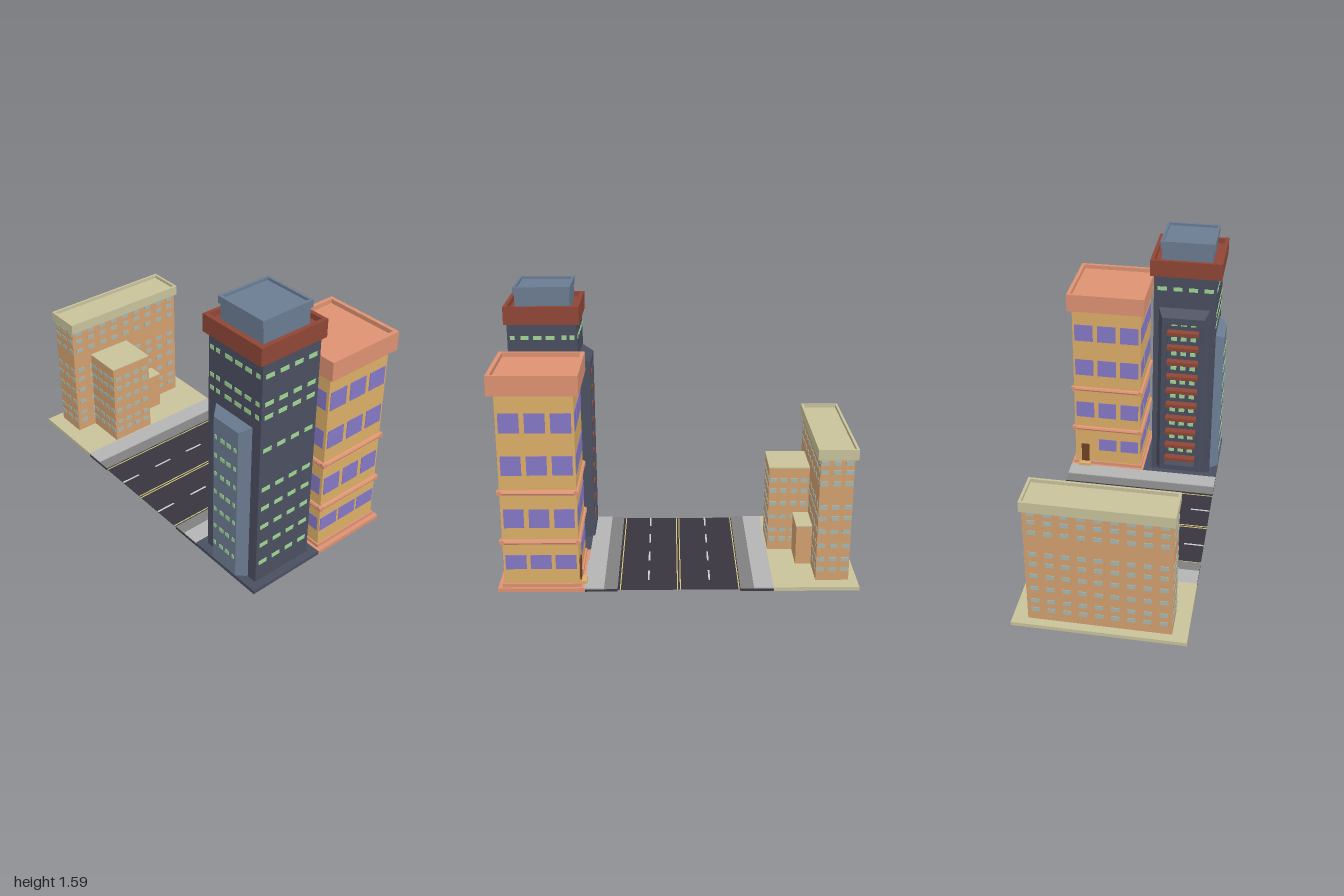
import * as THREE from 'three';

const COLORS = {
  navy: 0x4a4f60, rust: 0x8f4636, steel: 0x6b7c92, green: 0x9fd693, yellow: 0xdcae68,
  terracotta: 0xdd9272, purple: 0x8579c6, tan: 0xd2a06f, beige: 0xc8c29b, cap: 0xd4bd94,
  glass: 0xa8b8b0, road: 0x38353f, kerb: 0x3c3b42, paving: 0xb4b4b4, gutter: 0x808080,
  line: 0xd2c478, white: 0xe6e6e6, door: 0x6e4226,
};
const mats = {};
for (const key in COLORS) {
  mats[key] = new THREE.MeshStandardMaterial({ color: COLORS[key], flatShading: true });
}
mats.road.side = THREE.DoubleSide;

function add(group, name, color, geometry) {
  const mesh = new THREE.Mesh(geometry, mats[color]);
  mesh.name = name;
  group.add(mesh);
  return mesh;
}

// Box given by its limits on each axis
function box(group, name, color, x0, x1, y0, y1, z0, z1) {
  const mesh = add(group, name, color, new THREE.BoxGeometry(x1 - x0, y1 - y0, z1 - z0));
  mesh.position.set((x0 + x1) / 2, (y0 + y1) / 2, (z0 + z1) / 2);
  return mesh;
}

// Skin over successive rectangles [a0, a1, b0, b1, depth], closed at both ends
function rectLoft(rects) {
  const loops = rects.map(([a0, a1, b0, b1, d]) => [[a0, b0, d], [a1, b0, d], [a1, b1, d], [a0, b1, d]]);
  const pos = [];
  const quad = (a, b, c, d) => pos.push(...a, ...b, ...c, ...a, ...c, ...d);
  for (let i = 0; i < loops.length - 1; i++) {
    for (let k = 0; k < 4; k++) {
      const n = (k + 1) % 4;
      quad(loops[i][k], loops[i][n], loops[i + 1][n], loops[i + 1][k]);
    }
  }
  const first = loops[0], last = loops[loops.length - 1];
  quad(first[3], first[2], first[1], first[0]);
  quad(...last);
  const g = new THREE.BufferGeometry();
  g.setAttribute('position', new THREE.Float32BufferAttribute(pos, 3));
  g.computeVertexNormals();
  return g;
}

// Roof block with a raised rim around a sunken floor
function parapet(group, name, color, x0, x1, y0, y1, z0, z1, rim, sink) {
  const inner = [x0 + rim, x1 - rim, -z1 + rim, -z0 - rim];
  const g = rectLoft([[x0, x1, -z1, -z0, y0], [x0, x1, -z1, -z0, y1], [...inner, y1], [...inner, y1 - sink]]);
  return add(group, name, color, g.rotateX(-Math.PI / 2));
}

// Grid of thin panes on a wall: axis is the wall's normal, cols are centres or [centre, width]
function panes(group, name, color, axis, plane, cols, rows, w, h) {
  const set = new THREE.Group();
  set.name = name;
  for (const y of rows) {
    for (const col of cols) {
      const [c, cw] = Array.isArray(col) ? col : [col, w];
      const a = c - cw / 2, b = c + cw / 2, p = plane - 0.003, q = plane + 0.003;
      if (axis === 'x') box(set, 'pane', color, p, q, y - h / 2, y + h / 2, a, b);
      else box(set, 'pane', color, a, b, y - h / 2, y + h / 2, p, q);
    }
  }
  group.add(set);
}

const spread = (from, to, n) => Array.from({ length: n }, (_, i) => from + (to - from) * i / (n - 1));

function makeStreet() {
  const g = new THREE.Group();
  g.name = 'street';
  const surface = add(g, 'roadSurface', 'road', new THREE.PlaneGeometry(0.69, 0.95).rotateX(-Math.PI / 2));
  surface.position.y = 0.01;
  for (const x of [-0.333, -0.008, 0.008, 0.325]) {
    box(g, 'yellowLine', 'line', x - 0.003, x + 0.003, 0.01, 0.012, -0.475, 0.475);
  }
  for (const x of [-0.172, 0.17]) {
    for (const z of [-0.305, -0.065, 0.175, 0.415]) {
      box(g, 'laneDash', 'white', x - 0.005, x + 0.005, 0.01, 0.012, z - 0.058, z + 0.058);
    }
  }
  // Kerb base, paving and lower gutter on both sides
  for (const s of [-1, 1]) {
    const strip = (name, color, a, b, y0, y1) =>
      box(g, name, color, Math.min(s * a, s * b), Math.max(s * a, s * b), y0, y1, -0.475, 0.475);
    strip('kerbBase', 'kerb', 0.34, 0.525, 0, 0.015);
    strip('pavement', 'paving', 0.415, 0.525, 0.015, 0.022);
    strip('gutter', 'gutter', 0.34, 0.415, 0.015, 0.017);
  }
  return g;
}

function makeTower() {
  const g = new THREE.Group();
  g.name = 'tower';
  box(g, 'towerBase', 'navy', 0.52, 1, 0, 0.022, 0, 0.475);
  box(g, 'towerBody', 'navy', 0.565, 0.955, 0.022, 1.39, 0.05, 0.425);
  parapet(g, 'towerCornice', 'rust', 0.55, 0.97, 1.39, 1.49, 0.028, 0.452, 0.022, 0.03);
  box(g, 'roofRoom', 'steel', 0.605, 0.91, 1.45, 1.55, 0.09, 0.388);
  parapet(g, 'roofRoomCap', 'steel', 0.6, 0.917, 1.55, 1.59, 0.08, 0.4, 0.015, 0.015);

  // Bevelled front bay
  add(g, 'frontBay', 'steel', rectLoft([[0.62, 0.9, 0.022, 1.0, 0.42], [0.665, 0.85, 0.022, 0.96, 0.475]]));
  panes(g, 'bayWindows', 'green', 'z', 0.475,
    [[0.683, 0.018], [0.735, 0.03], [0.782, 0.03], [0.83, 0.018]], spread(0.144, 0.845, 7), 0.03, 0.024);

  // Bevelled side frame with a recess full of slats
  const hole = [0.14, 0.335, 0.1, 1.11];
  add(g, 'sideFrame', 'navy', rectLoft([
    [0.08, 0.39, 0.06, 1.19, -0.57], [0.11, 0.365, 0.065, 1.15, -0.5], [...hole, -0.5], [...hole, -0.55],
  ]).rotateY(-Math.PI / 2));
  const slats = spread(0.14, 1.04, 10);
  for (const y of slats) box(g, 'slat', 'rust', 0.505, 0.55, y - 0.011, y + 0.011, 0.14, 0.335);
  panes(g, 'recessWindows', 'green', 'x', 0.549, [0.18, 0.238, 0.296], slats.map((y) => y + 0.05), 0.035, 0.024);

  // Windows of the plain walls
  const high = [1.075, 1.152, 1.31];
  const all = [0.145, 0.266, 0.389, 0.511, 0.634, 0.878, ...high];
  const across = [[0.592, 0.027], [0.637, 0.027], [0.715, 0.05], [0.787, 0.048], [0.858, 0.045], [0.926, 0.027]];
  const along = [0.1, 0.193, 0.286, 0.378];
  panes(g, 'rightWindows', 'green', 'x', 0.955, along, all, 0.054, 0.024);
  panes(g, 'leftWindows', 'green', 'x', 0.565, along, [1.31], 0.054, 0.024);
  panes(g, 'frontWindows', 'green', 'z', 0.425, across, high, 0.05, 0.024);
  panes(g, 'backWindows', 'green', 'z', 0.05, across, all, 0.05, 0.024);
  return g;
}

function makeCornerBlock() {
  const g = new THREE.Group();
  g.name = 'apartmentBlock';
  box(g, 'blockBase', 'terracotta', 0.52, 1, 0, 0.022, -0.475, 0);
  box(g, 'plinth', 'terracotta', 0.54, 0.975, 0.022, 0.042, -0.46, -0.016);
  box(g, 'blockBody', 'yellow', 0.55, 0.965, 0.022, 1.135, -0.45, -0.025);
  parapet(g, 'blockCornice', 'terracotta', 0.52, 1, 1.135, 1.245, -0.475, 0, 0.022, 0.025);
  // Rounded ledges around all four walls
  for (const y of [0.293, 0.585]) {
    for (const z of [-0.45, -0.025]) {
      const bar = add(g, 'ledge', 'terracotta', new THREE.CylinderGeometry(0.015, 0.015, 0.445, 8).rotateZ(Math.PI / 2));
      bar.position.set(0.7575, y, z);
    }
    for (const x of [0.55, 0.965]) {
      const bar = add(g, 'ledge', 'terracotta', new THREE.CylinderGeometry(0.015, 0.015, 0.455, 8).rotateX(Math.PI / 2));
      bar.position.set(x, y, -0.2375);
    }
  }
  const zs = [-0.095, -0.2375, -0.38], xs = [0.62, 0.7575, 0.895];
  const rows = [0.433, 0.74, 0.98];
  for (const x of [0.55, 0.965]) panes(g, 'sideWindows', 'purple', 'x', x, zs, rows, 0.115, 0.11);
  for (const z of [-0.45, -0.025]) {
    panes(g, 'endWindows', 'purple', 'z', z, xs, rows, 0.11, 0.11);
    panes(g, 'lowEndWindows', 'purple', 'z', z, xs, [0.172], 0.115, 0.085);
  }
  panes(g, 'lowRightWindows', 'purple', 'x', 0.965, zs, [0.172], 0.125, 0.085);
  panes(g, 'lowLeftWindows', 'purple', 'x', 0.55, zs.slice(0, 2), [0.172], 0.115, 0.085);
  // Street door and its step
  box(g, 'door', 'door', 0.542, 0.555, 0.03, 0.17, -0.41, -0.36);
  box(g, 'doorStep', 'yellow', 0.512, 0.55, 0.022, 0.04, -0.425, -0.35);
  return g;
}

function makeLongBlock() {
  const g = new THREE.Group();
  g.name = 'longBlock';
  box(g, 'lawnSlab', 'beige', -1, -0.525, 0, 0.022, -0.475, 0.475);
  box(g, 'mainBody', 'tan', -0.95, -0.765, 0.022, 0.745, -0.39, 0.39);
  parapet(g, 'mainRoof', 'beige', -0.97, -0.75, 0.745, 0.805, -0.4, 0.397, 0.014, 0.02);
  box(g, 'wing', 'tan', -0.766, -0.53, 0.022, 0.54, 0, 0.265);
  box(g, 'wingRoof', 'beige', -0.766, -0.528, 0.54, 0.546, -0.002, 0.267);
  box(g, 'porch', 'tan', -0.766, -0.675, 0.022, 0.255, -0.19, 0);
  box(g, 'porchRoof', 'beige', -0.766, -0.673, 0.255, 0.262, -0.192, 0);

  const low = [0.09, 0.15, 0.235, 0.32, 0.4, 0.466], rows = [...low, 0.605, 0.672, 0.725];
  const ends = [-0.925, -0.858, -0.79], longs = spread(-0.345, 0.345, 9);
  const wingXs = [-0.735, -0.675, -0.615, -0.555];
  for (const z of [-0.39, 0.39]) panes(g, 'endWindows', 'glass', 'z', z, ends, rows, 0.042, 0.026);
  for (const x of [-0.95, -0.765]) panes(g, 'longWindows', 'glass', 'x', x, longs, rows, 0.045, 0.026);
  for (const z of [0, 0.265]) panes(g, 'wingWindows', 'glass', 'z', z, wingXs, low, 0.038, 0.026);
  panes(g, 'wingEndWindows', 'glass', 'x', -0.53, [0.035, 0.1, 0.165, 0.23], low, 0.04, 0.026);
  return g;
}

export function createModel() {
  const model = new THREE.Group();
  model.name = 'cityBlock';
  model.add(makeStreet(), makeTower(), makeCornerBlock(), makeLongBlock());
  return model;
}
